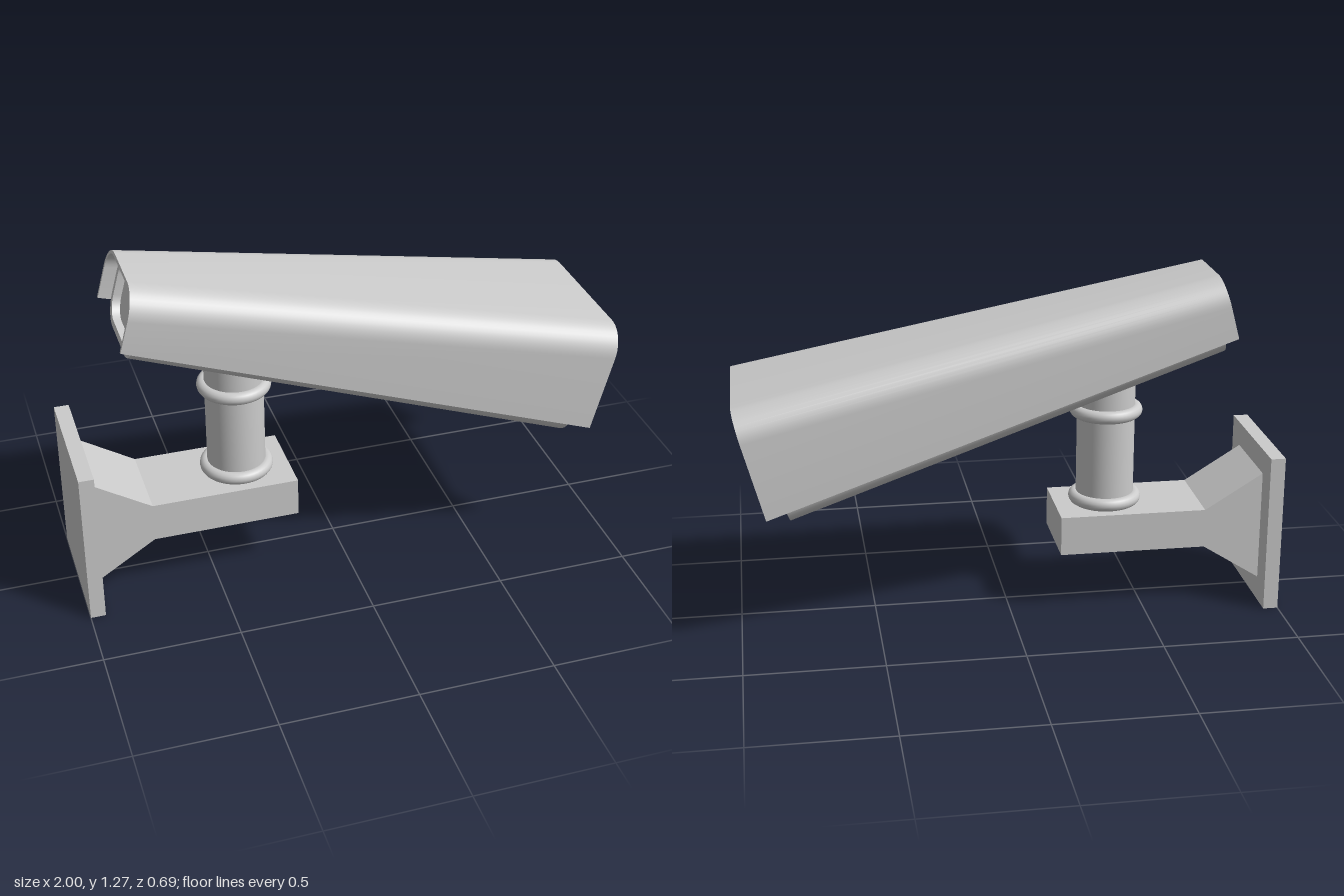
import * as THREE from 'three';
import { toCreasedNormals } from 'three/addons/utils/BufferGeometryUtils.js';

const material = new THREE.MeshStandardMaterial({ color: 0xcccccc });

function add(parent, name, geometry, x = 0, y = 0, z = 0) {
  const mesh = new THREE.Mesh(geometry, material);
  mesh.name = name;
  mesh.position.set(x, y, z);
  parent.add(mesh);
  return mesh;
}

// Rounded rectangle ring at station x, running from +z over the top to -z and back underneath
function roundedRing(x, hw, hh, r, cy = 0, steps = 10) {
  const points = [];
  [[1, 1], [-1, 1], [-1, -1], [1, -1]].forEach(([sz, sy], corner) => {
    for (let i = 0; i <= steps; i++) {
      const a = (corner + i / steps) * Math.PI / 2;
      points.push([x, cy + sy * (hh - r) + r * Math.sin(a), sz * (hw - r) + r * Math.cos(a)]);
    }
  });
  return points;
}

// Upper half of a rounded ring with straight sides down to the bottom height
function archRing(x, hw, hh, r, bottom) {
  const top = roundedRing(x, hw, hh, r).slice(0, 22);
  return [[x, bottom, hw], ...top, [x, bottom, -hw]];
}

// Joins rows of points into a surface; a row with one point closes an end
function loft(rows, closed, extraQuads = []) {
  const positions = [];
  const n = Math.max(...rows.map(row => row.length));
  const at = (row, j) => row[row.length === 1 ? 0 : j % n];
  for (let i = 0; i < rows.length - 1; i++) {
    for (let j = 0; j < (closed ? n : n - 1); j++) {
      const a = at(rows[i], j), b = at(rows[i], j + 1);
      const c = at(rows[i + 1], j + 1), d = at(rows[i + 1], j);
      if (rows[i + 1].length > 1) positions.push(...a, ...d, ...c);
      if (rows[i].length > 1) positions.push(...a, ...c, ...b);
    }
  }
  for (const [a, b, c, d] of extraQuads) positions.push(...a, ...b, ...c, ...a, ...c, ...d);
  const geometry = new THREE.BufferGeometry();
  geometry.setAttribute('position', new THREE.Float32BufferAttribute(positions, 3));
  return toCreasedNormals(geometry, 0.5);
}

export function createModel() {
  const model = new THREE.Group();
  model.name = 'securityCamera';
  const midZ = 0.007;

  // Wall mount
  add(model, 'wallPlate', new THREE.BoxGeometry(0.055, 0.6, 0.505), -0.9725, 0.3, midZ);
  const profile = [[-0.945, 0.09], [-0.73, 0.228], [-0.185, 0.228],
    [-0.185, 0.376], [-0.73, 0.376], [-0.945, 0.51]];
  const armShape = new THREE.Shape(profile.map(([x, y]) => new THREE.Vector2(x, y)));
  add(model, 'bracketArm',
    new THREE.ExtrudeGeometry(armShape, { depth: 0.316, bevelEnabled: false }), 0, 0, midZ - 0.158);

  // Post with two rings
  const postX = -0.377;
  add(model, 'post', new THREE.CylinderGeometry(0.108, 0.108, 0.56, 48), postX, 0.65, midZ);
  for (const [name, y] of [['lowerRing', 0.399], ['upperRing', 0.742]]) {
    add(model, name, new THREE.TorusGeometry(0.112, 0.024, 16, 48).rotateX(Math.PI / 2), postX, y, midZ);
  }

  // Tilted camera head
  const head = new THREE.Group();
  head.name = 'cameraHead';
  head.position.set(0.229, 0.855, 0);
  head.rotation.z = -Math.PI / 12;
  model.add(head);

  // Tapered body with a recessed panel at each end
  const back = -1.011, front = 0.657, cy = -0.006, rim = 0.022, depth = 0.03;
  const backRim = x => roundedRing(x, 0.195 - rim, 0.131 - rim, 0.068, cy);
  const frontRim = x => roundedRing(x, 0.322 - rim, 0.221 - rim, 0.078, cy);
  add(head, 'cameraBody', loft([
    [[back + depth, cy, 0]],
    backRim(back + depth),
    backRim(back),
    roundedRing(back, 0.195, 0.131, 0.09, cy),
    roundedRing(front, 0.322, 0.221, 0.1, cy),
    frontRim(front),
    frontRim(front - depth),
    [[front - depth, cy, 0]],
  ], true));

  // Thin sun shield over the top and sides
  const t = 0.012;
  const rearArch = inset => archRing(-1.057, 0.21 - inset, 0.143 - inset, 0.1 - inset, -0.078);
  const frontArch = inset => archRing(0.731, 0.343 - inset, 0.236 - inset, 0.105 - inset, -0.164);
  const rows = [rearArch(0), frontArch(0), frontArch(t), rearArch(t)];
  const lowerEdges = [
    rows.map(row => row[0]).reverse(),
    rows.map(row => row[row.length - 1]),
  ];
  add(head, 'sunShield', loft([...rows, rows[0]], false, lowerEdges));

  return model;
}
